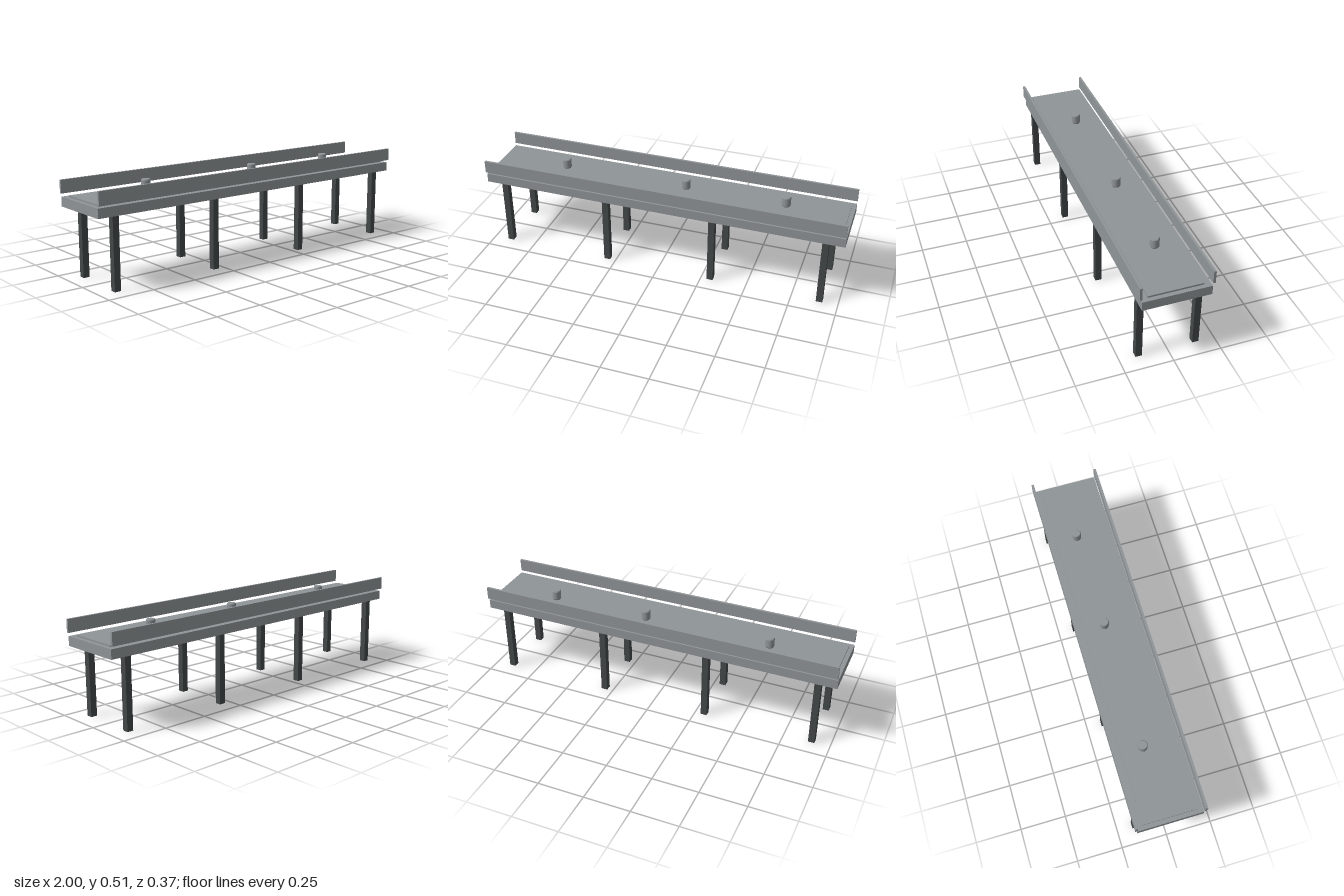
import * as THREE from 'three';

export function createModel() {
  const model = new THREE.Group();
  model.name = 'conveyorTable';

  const paint = (name, color) => {
    const m = new THREE.MeshStandardMaterial({ color });
    m.name = name;
    return m;
  };
  const steel = paint('steelGrey', 0x8f9497);
  const dark = paint('darkGrey', 0x434848);

  // Box given by its bottom height and its centre in x and z
  const box = (name, material, [w, h, d], [x, bottom, z]) => {
    const mesh = new THREE.Mesh(new THREE.BoxGeometry(w, h, d), material);
    mesh.name = name;
    mesh.position.set(x, bottom + h / 2, z);
    model.add(mesh);
  };

  // Deck and the belt lying on it
  box('deck', steel, [2, 0.05, 0.35], [0, 0.376, 0]);
  box('belt', steel, [1.955, 0.009, 0.28], [0, 0.426, 0]);

  // Side rails and legs, mirrored front to back
  for (const side of [1, -1]) {
    box('sideRail', steel, [2, 0.069, 0.0125], [0, 0.441, side * 0.181]);
    for (const x of [-0.9, -0.3, 0.3, 0.9]) {
      box('leg', dark, [0.034, 0.376, 0.034], [x, 0, side * 0.15]);
    }
  }

  // Cans: straight body between two chamfered ends
  const r = 0.024, rim = 0.021, chamfer = 0.005, bodyHeight = 0.045;
  const sections = [
    ['canBase', r, rim, chamfer, 0],
    ['canBody', r, r, bodyHeight, chamfer],
    ['canTop', rim, r, chamfer, chamfer + bodyHeight],
  ];
  for (const x of [-0.6, 0.1, 0.65]) {
    const can = new THREE.Group();
    can.name = 'can';
    can.position.set(x, 0.435, -0.025);
    for (const [name, top, bottom, h, y] of sections) {
      const open = name === 'canBody';
      const part = new THREE.Mesh(new THREE.CylinderGeometry(top, bottom, h, 32, 1, open), steel);
      part.name = name;
      part.position.y = y + h / 2;
      can.add(part);
    }
    model.add(can);
  }

  return model;
}
